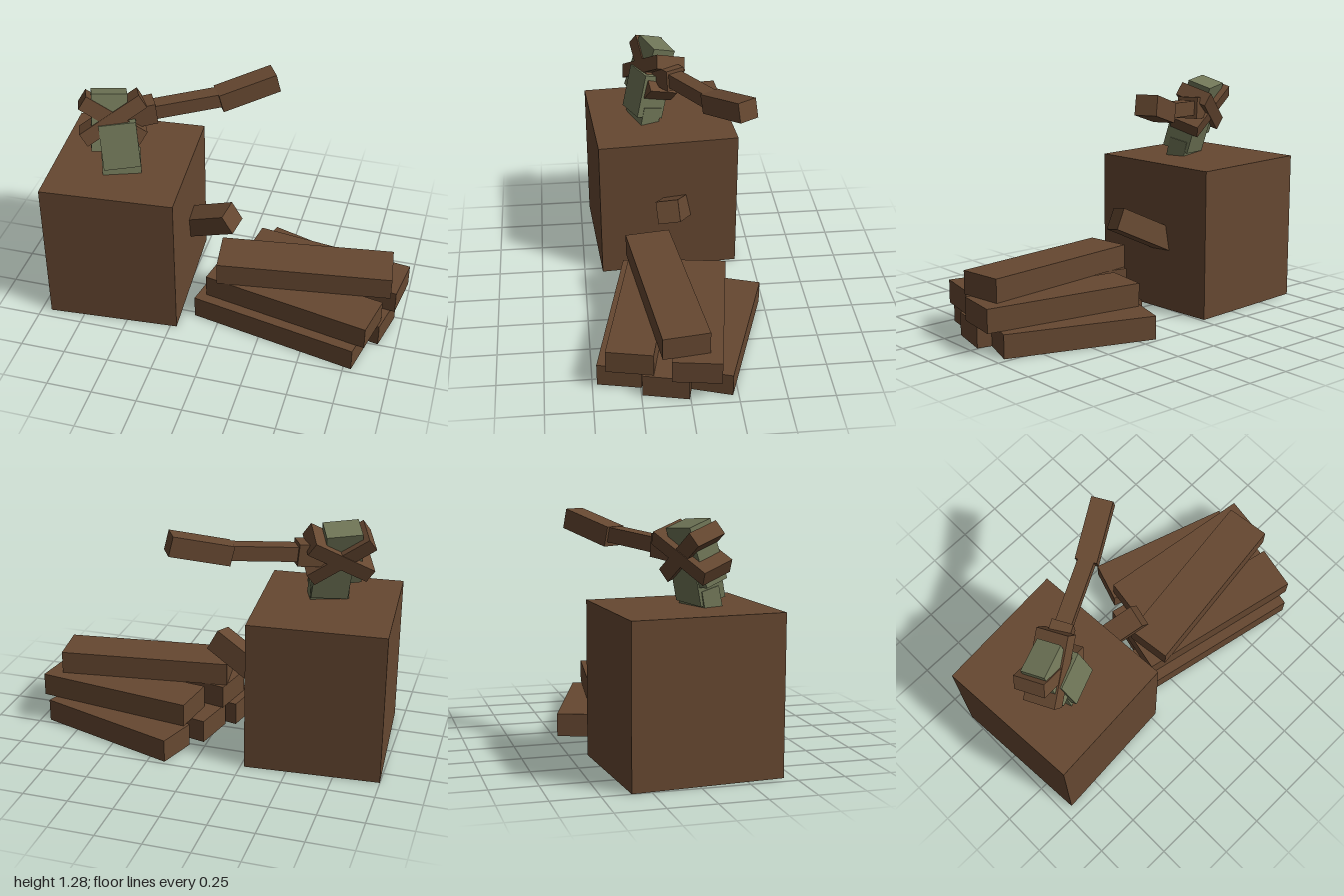
import * as THREE from 'three';

const wood = new THREE.MeshStandardMaterial({ color: 0x664831 });
wood.name = 'brown wood';
const stone = new THREE.MeshStandardMaterial({ color: 0x707657 });
stone.name = 'mossy stone';

const V = (a) => new THREE.Vector3(...a);

// Box whose local x follows "along" and whose local y leans towards "up"
function beam(name, size, centre, along, up, material = wood) {
  const mesh = new THREE.Mesh(new THREE.BoxGeometry(...size), material);
  const x = V(along).normalize();
  const z = x.clone().cross(V(up)).normalize();
  const y = z.clone().cross(x);
  mesh.quaternion.setFromRotationMatrix(new THREE.Matrix4().makeBasis(x, y, z));
  mesh.position.copy(V(centre));
  mesh.name = name;
  return mesh;
}

// Beam stretched between two points
function span(name, a, b, height, width) {
  const d = V(b).sub(V(a));
  const mid = V(a).add(V(b)).multiplyScalar(0.5);
  return beam(name, [d.length(), height, width], mid.toArray(), d.toArray(), [0, 1, 0]);
}

// Box lying flat, turned about the vertical
function flat(name, size, centre, turn) {
  const mesh = new THREE.Mesh(new THREE.BoxGeometry(...size), wood);
  mesh.position.set(...centre);
  mesh.rotation.y = turn;
  mesh.name = name;
  return mesh;
}

export function createModel() {
  const model = new THREE.Group();
  model.name = 'choppingBlockWithAxe';

  // Chopping block and the branch stub on its side
  model.add(flat('choppingBlock', [0.732, 0.833, 0.797], [-0.607, 0.4165, 0.022], 0.069));
  model.add(beam('branchStub', [0.46, 0.125, 0.126],
    [-0.188, 0.441, -0.033], [0.86, 0.43, 0.26], [-0.058, 0.11, 0.01]));

  // Stacked planks: layer, length, width, x, z, turn
  const planks = new THREE.Group();
  planks.name = 'plankPile';
  [
    [0, 0.956, 0.236, 0.35, 0.26, -0.21],
    [0, 0.96, 0.245, 0.46, 0.018, -0.225],
    [0, 0.83, 0.23, 0.515, -0.24, -0.317],
    [1, 0.956, 0.25, 0.407, 0.207, -0.212],
    [1, 0.9, 0.258, 0.535, -0.095, -0.147],
    [2, 0.96, 0.25, 0.445, 0.08, 0.128],
  ].forEach(([layer, length, width, x, z, turn]) => {
    planks.add(flat('plank', [length, 0.128, width], [x, 0.064 + layer * 0.128, z], turn));
  });
  model.add(planks);

  const axe = new THREE.Group();
  axe.name = 'axe';
  model.add(axe);

  // Stone head in three overlapping pieces, the edge sunk into the block
  const across = [0.176, -0.013, -0.07];
  const headUp = [-0.026, 0.3, -0.092];
  const headCentre = [-0.663, 1.104, 0.072];
  axe.add(beam('headTop', [0.19, 0.315, 0.138], headCentre, across, headUp, stone));
  axe.add(beam('headMiddle', [0.2, 0.25, 0.16], [-0.6, 0.985, 0.095],
    [0.92, 0.06, -0.36], [-0.17, 1, -0.22], stone));
  axe.add(beam('headEdge', [0.21, 0.3, 0.11], [-0.582, 0.78, 0.132],
    [0.92, 0, -0.34], [-0.1, 1, -0.2], stone));

  // Crossed bindings round the head
  [0.6, -0.54].forEach((angle) => {
    const binding = beam('binding', [0.38, 0.08, angle > 0 ? 0.185 : 0.178],
      [-0.65, 1.11, 0.05], across, headUp);
    binding.rotateZ(angle);
    axe.add(binding);
  });

  // Handle: collar, shaft and thicker grip
  axe.add(span('handleCollar', [-0.58, 1.115, 0.012], [-0.445, 1.13, -0.06], 0.12, 0.115));
  axe.add(span('handleShaft', [-0.5, 1.125, -0.03], [-0.11, 1.16, -0.228], 0.08, 0.087));
  axe.add(span('handleGrip', [-0.132, 1.147, -0.217], [0.146, 1.227, -0.38], 0.108, 0.117));

  return model;
}
